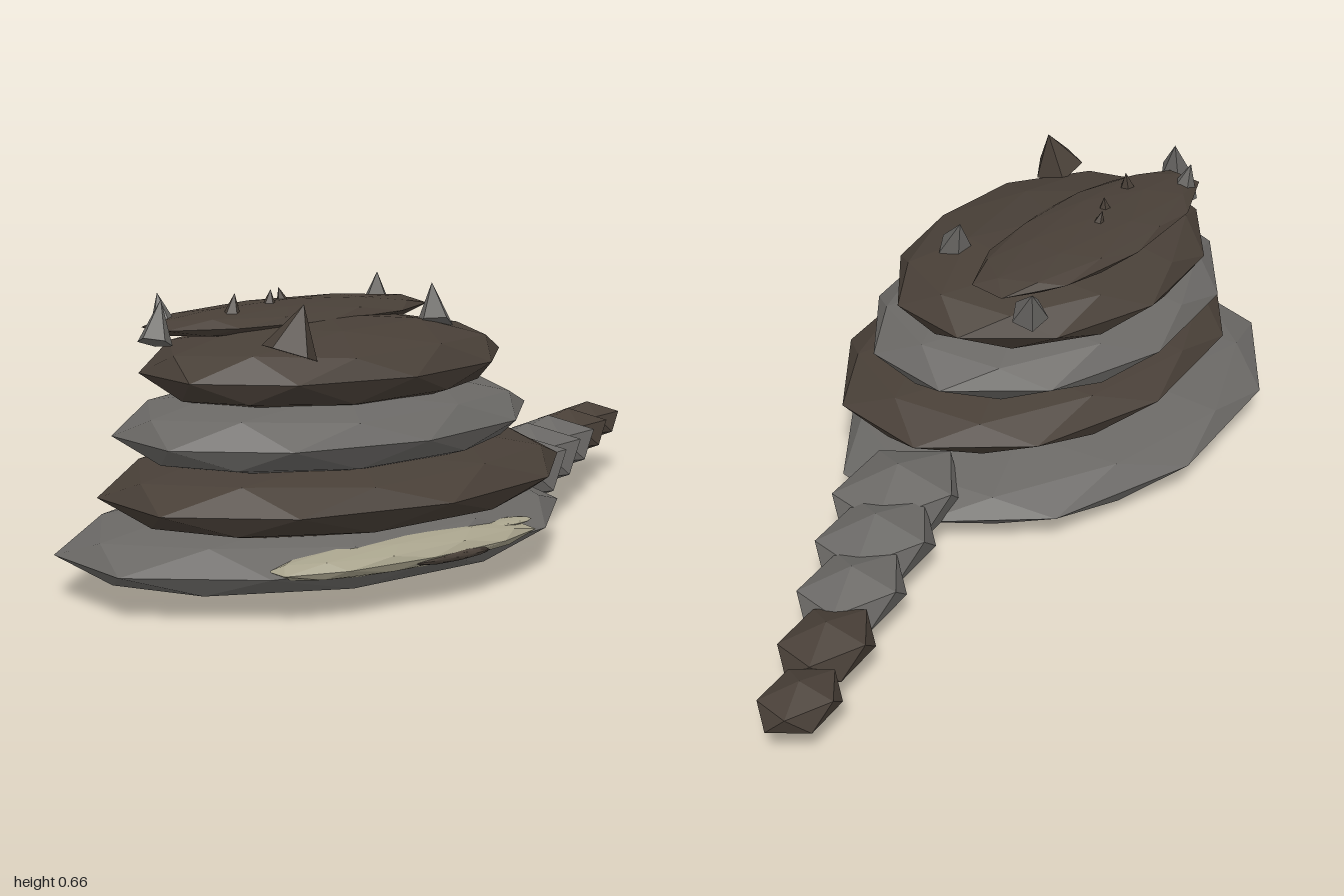
import * as THREE from 'three';

const flat = (name, color) => {
  const m = new THREE.MeshStandardMaterial({ color, flatShading: true });
  m.name = name;
  return m;
};

// Faceted ball with a vertex pointing straight up
function ball(detail) {
  const g = new THREE.IcosahedronGeometry(1, detail);
  g.rotateZ(Math.atan(2 / (1 + Math.sqrt(5))));
  return g;
}

export function createModel() {
  const model = new THREE.Group();
  const stone = flat('grey stone', 0x6a6865);
  const earth = flat('dark earth', 0x483f37);
  const pale = flat('pale belly', 0xa8a38c);
  const fine = ball(1), coarse = ball(0);

  const blob = (name, geo, mat, pos, size) => {
    const m = new THREE.Mesh(geo, mat);
    m.name = name;
    m.position.set(...pos);
    m.scale.set(...size);
    model.add(m);
    return m;
  };

  // Stacked coils of the body, alternating in colour
  [
    [[-0.375, 0.1, 0.008], [0.657, 0.1, 0.438]],
    [[-0.38, 0.235, 0.09], [0.59, 0.105, 0.408]],
    [[-0.397, 0.365, 0.07], [0.525, 0.105, 0.37]],
    [[-0.385, 0.495, 0.05], [0.457, 0.105, 0.33]],
  ].forEach(([p, s], i) => blob('coil' + (i + 1), fine, i % 2 ? earth : stone, p, s));

  // Flat head resting on the top coil
  blob('head', fine, earth, [-0.415, 0.592, -0.045], [0.4, 0.036, 0.15]).rotation.y = 0.05;

  // Pale belly patch on the front of the lowest coil, with a dark slit
  blob('bellyPatch', fine, pale, [-0.4, 0.112, 0.365], [0.37, 0.036, 0.095]);
  blob('bellySlit', fine, earth, [-0.34, 0.103, 0.447], [0.11, 0.012, 0.014]);
  blob('bellyChip', fine, pale, [-0.11, 0.132, 0.365], [0.07, 0.007, 0.03]);

  // Tail of shrinking beads
  for (let i = 0; i < 5; i++) {
    const s = 0.098 - 0.0105 * i;
    blob('tailBead' + (i + 1), coarse, i < 3 ? stone : earth,
      [0.255 + 0.159 * i, 0.142, -0.06 - 0.0925 * i], [2 * s, s, 1.5 * s]);
  }

  // Spikes: base centre, tip, base radius, material
  const up = new THREE.Vector3(0, 1, 0);
  [
    [[-0.83, 0.572, 0.035], [-0.8, 0.662, 0.015], 0.04, stone],
    [[-0.745, 0.572, -0.06], [-0.75, 0.664, -0.08], 0.04, stone],
    [[-0.65, 0.56, 0.28], [-0.615, 0.662, 0.285], 0.065, earth],
    [[-0.155, 0.57, 0.16], [-0.13, 0.66, 0.12], 0.045, stone],
    [[-0.065, 0.565, -0.175], [-0.03, 0.65, -0.215], 0.045, stone],
    [[-0.615, 0.6, 0.01], [-0.605, 0.66, 0.01], 0.026, earth],
    [[-0.485, 0.612, -0.03], [-0.48, 0.656, -0.03], 0.02, earth],
    [[-0.42, 0.612, -0.065], [-0.43, 0.654, -0.07], 0.018, earth],
  ].forEach(([b, t, r, mat], i) => {
    const base = new THREE.Vector3(...b), axis = new THREE.Vector3(...t).sub(base);
    const h = axis.length();
    const spike = new THREE.Mesh(new THREE.ConeGeometry(r, h, 5), mat);
    spike.name = 'spike' + (i + 1);
    spike.position.copy(base).addScaledVector(axis, 0.5);
    spike.quaternion.setFromUnitVectors(up, axis.normalize());
    model.add(spike);
  });

  return model;
}
